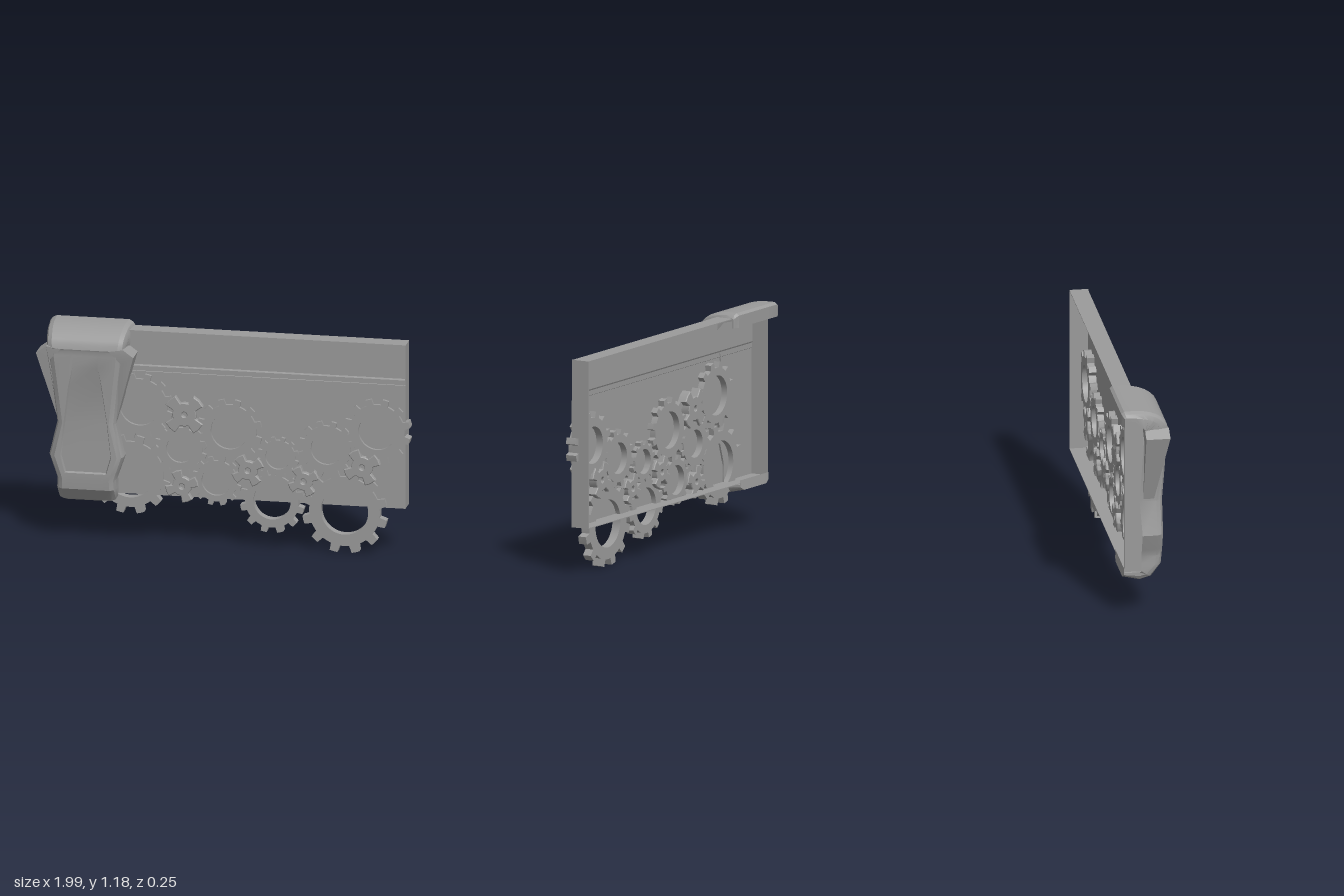
import * as THREE from 'three';
import { toCreasedNormals } from 'three/addons/utils/BufferGeometryUtils.js';

const material = new THREE.MeshStandardMaterial({ color: 0x9b9b9b, side: THREE.DoubleSide });
const CLASP_X = -0.735;

function addMesh(parent, name, geometry, crease = 0.45) {
  const mesh = new THREE.Mesh(toCreasedNormals(geometry, crease), material);
  mesh.name = name;
  parent.add(mesh);
  return mesh;
}

// Toothed wheel with a round bore; root and tip are tooth widths as a share of the pitch
function gearGeometry({ radius, rootRadius, bore, teeth, phase, root, tip, back, front, bevel }) {
  const shape = new THREE.Shape();
  const pitch = (Math.PI * 2) / teeth;
  for (let i = 0; i < teeth; i++) {
    const corners = [
      [-root / 2, rootRadius], [-tip / 2, radius], [0, radius],
      [tip / 2, radius], [root / 2, rootRadius], [0.5, rootRadius],
    ];
    corners.forEach(([share, r], k) => {
      const a = phase + (i + share) * pitch;
      const x = r * Math.cos(a), y = r * Math.sin(a);
      if (i + k === 0) shape.moveTo(x, y);
      else shape.lineTo(x, y);
    });
  }
  shape.closePath();
  const hole = new THREE.Path();
  hole.absarc(0, 0, bore, 0, Math.PI * 2, true);
  shape.holes.push(hole);
  const geometry = new THREE.ExtrudeGeometry(shape, {
    depth: front - back - 2 * bevel, curveSegments: 20, bevelEnabled: bevel > 0,
    bevelThickness: bevel, bevelSize: bevel, bevelOffset: -bevel, bevelSegments: 1,
  });
  return geometry.translate(0, 0, back + bevel);
}

function addGears(group) {
  // x, y, tip radius, bore radius, rear z
  const large = [
    [-0.46, 0.745, 0.18, 0.107, -0.035], [-0.51, 0.366, 0.217, 0.128, -0.03],
    [-0.24, 0.52, 0.142, 0.075, -0.035], [0.024, 0.634, 0.176, 0.1, -0.035],
    [-0.045, 0.355, 0.135, 0.08, -0.035], [0.286, 0.505, 0.112, 0.067, -0.035],
    [0.254, 0.26, 0.174, 0.1, -0.028], [0.548, 0.564, 0.155, 0.085, -0.035],
    [0.82, 0.676, 0.18, 0.1, -0.04], [0.645, 0.227, 0.23, 0.128, -0.026],
  ];
  const gears = new THREE.Group();
  gears.name = 'gears';
  group.add(gears);
  large.forEach(([x, y, radius, bore, back]) => {
    addMesh(gears, 'gear', gearGeometry({
      radius, rootRadius: radius * 0.83, bore, teeth: 12, phase: Math.PI / 12,
      root: 0.5, tip: 0.36, back, front: 0.022, bevel: 0,
    })).position.set(x, y, 0);
  });
  // x, y, tip radius, rotation
  const small = [
    [-0.217, 0.714, 0.112, 0.785], [0.74, 0.478, 0.1, 0.5], [0.125, 0.425, 0.09, 0.6],
    [0.425, 0.382, 0.085, 0.5], [-0.23, 0.318, 0.09, 0.35],
  ];
  small.forEach(([x, y, radius, phase]) => {
    addMesh(gears, 'pinion', gearGeometry({
      radius, rootRadius: radius * 0.58, bore: 0.014, teeth: 4, phase,
      root: 0.56, tip: 0.42, back: -0.05, front: 0.034, bevel: 0.004,
    })).position.set(x, y, 0);
  });
}

// Open-backed tray whose face carries a narrow stepped band
function addPanel(group) {
  const left = -0.88, right = 0.97, t = 0.004;
  const face = [[-0.004, 0.255], [-0.004, 0.934], [-0.002, 0.936], [-0.002, 0.962], [0.002, 0.97], [0.002, 1.155]];
  const inner = face.map(([u, y]) => [u + t, THREE.MathUtils.clamp(y, 0.255 + t, 1.155 - t)]).reverse();
  const outline = [[0.1, 0.255], ...face, [0.1, 1.155], [0.1, 1.155 - t], ...inner, [0.1, 0.255 + t]];
  const profile = new THREE.Shape(outline.map(([u, y]) => new THREE.Vector2(u, y)));
  const tray = new THREE.ExtrudeGeometry(profile, { depth: right - left, bevelEnabled: false });
  tray.rotateY(Math.PI / 2).translate(left, 0, 0);
  addMesh(group, 'panel', tray, 0.1);
  for (const x of [left + t / 2, right - t / 2]) {
    addMesh(group, 'panelEnd', new THREE.BoxGeometry(t, 0.9, 0.102)).position.set(x, 0.705, -0.049);
  }
}

// Hooked shell: sections run from the rear lip over the top, down the face and under
function claspGeometry() {
  // face y, face z, half width, skirt y, skirt z
  const top = [
    [1.105, -0.125, 0.228, 1.105, -0.1], [1.17, -0.125, 0.228, 1.14, -0.1],
    [1.182, -0.11, 0.228, 1.14, -0.095], [1.182, -0.06, 0.224, 1.13, -0.05],
    [1.178, -0.01, 0.222, 1.08, 0], [1.17, 0.027, 0.22, 1.07, 0],
    [1.156, 0.062, 0.217, 1.06, 0], [1.138, 0.09, 0.214, 1.055, 0],
    [1.118, 0.11, 0.212, 1.05, 0], [1.095, 0.122, 0.21, 1.047, 0],
    [1.068, 0.129, 0.207, 1.045, 0], [1.06, 0.126, 0.204, 1.04, 0],
  ];
  // The face adds the half width and depth of its sunken channel
  const face = [
    [1.035, 0.126, 0.2, 1.035, 0, 0.065, 0], [0.97, 0.122, 0.193, 0.97, -0.005, 0.066, 0.002],
    [0.86, 0.117, 0.18, 0.86, -0.01, 0.085, 0.016], [0.655, 0.105, 0.157, 0.655, -0.02, 0.112, 0.018],
    [0.473, 0.104, 0.2, 0.473, -0.01, 0.132, 0.018], [0.385, 0.104, 0.17, 0.385, -0.01, 0.107, 0.018],
    [0.38, 0.104, 0.168, 0.38, -0.01, 0.107, 0],
  ];
  const bottom = [
    [0.345, 0.103, 0.157, 0.345, -0.01], [0.29, 0.097, 0.16, 0.3, -0.01],
    [0.222, 0.045, 0.16, 0.26, -0.01], [0.2, -0.015, 0.15, 0.25, -0.02],
    [0.22, -0.107, 0.145, 0.25, -0.1], [0.275, -0.102, 0.145, 0.275, -0.1],
  ];
  const stations = [...top, ...face, ...bottom];
  const positions = [], indices = [];
  const columns = 12;
  stations.forEach(([y, z, hw, sy, sz, cw = 0.08, depth = 0]) => {
    const reach = Math.hypot(sy - y, sz - z);
    const inset = (d) => {
      const k = Math.min(0.6, d / reach);
      return [y + (sy - y) * k, z + (sz - z) * k];
    };
    const half = [
      [hw, sy, sz], [hw, ...inset(0.035)], [hw - 0.01, ...inset(0.012)],
      [hw - 0.032, y, z], [cw + 0.006, y, z], [cw, ...inset(depth)],
    ];
    for (const [x, py, pz] of half) positions.push(-x, py, pz);
    for (const [x, py, pz] of half.reverse()) positions.push(x, py, pz);
  });
  for (let i = 0; i < stations.length - 1; i++) {
    for (let j = 0; j < columns - 1; j++) {
      const a = i * columns + j, b = a + columns;
      indices.push(a, b, a + 1, a + 1, b, b + 1);
    }
  }
  const geometry = new THREE.BufferGeometry();
  geometry.setAttribute('position', new THREE.Float32BufferAttribute(positions, 3));
  geometry.setIndex(indices);
  geometry.computeVertexNormals();
  return geometry;
}

// Shoulder flange, its front thinning towards the waist
function wingGeometry(side) {
  const outline = [[0.207, 1.08], [0.262, 1.04], [0.155, 0.655], [0.15, 0.75], [0.193, 1.0], [0.13, 1.067]];
  const shape = new THREE.Shape(outline.map(([x, y]) => new THREE.Vector2(side * x, y)));
  const geometry = new THREE.ExtrudeGeometry(shape, { depth: 1, bevelEnabled: false });
  const p = geometry.attributes.position;
  for (let i = 0; i < p.count; i++) {
    const front = Math.min(0.129, 0.055 + (p.getY(i) - 0.655) * 0.193);
    p.setZ(i, p.getZ(i) * front);
  }
  geometry.computeVertexNormals();
  return geometry;
}

export function createModel() {
  const group = new THREE.Group();
  group.name = 'gearPanel';
  addPanel(group);
  addGears(group);

  const clasp = new THREE.Group();
  clasp.name = 'clasp';
  clasp.position.x = CLASP_X;
  addMesh(clasp, 'claspShell', claspGeometry());
  for (const side of [-1, 1]) addMesh(clasp, 'claspWing', wingGeometry(side));
  group.add(clasp);
  return group;
}
